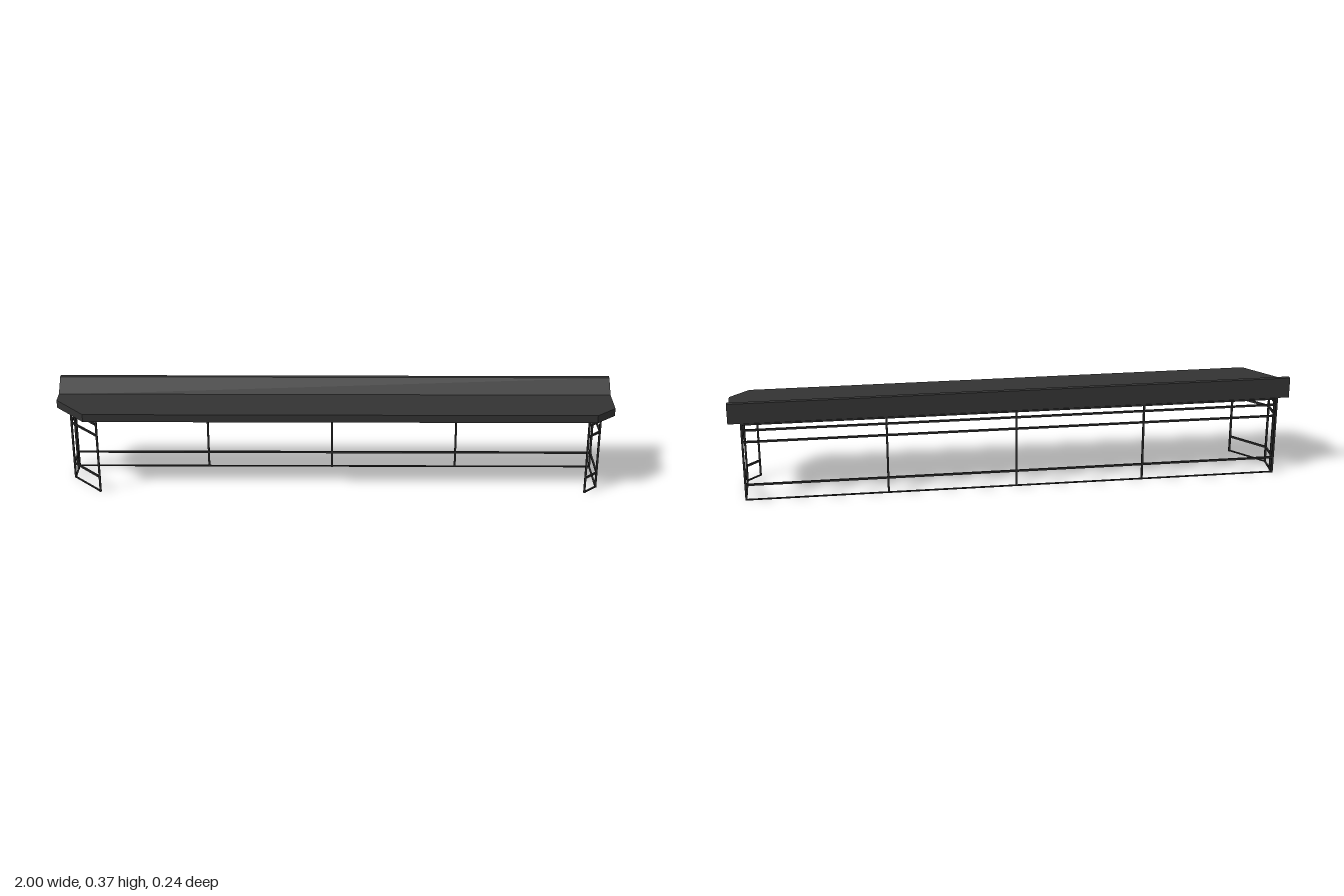
import * as THREE from 'three';

export function createModel() {
  const model = new THREE.Group();
  const roofMat = new THREE.MeshStandardMaterial({ color: 0x333333 });
  const frameMat = new THREE.MeshStandardMaterial({ color: 0x2b2b2b });

  const add = (parent, name, geometry, material) => {
    const mesh = new THREE.Mesh(geometry, material);
    mesh.name = name;
    parent.add(mesh);
    return mesh;
  };
  const extrude = (points, depth) => new THREE.ExtrudeGeometry(
    new THREE.Shape(points.map(([x, y]) => new THREE.Vector2(x, y))),
    { depth, bevelEnabled: false });

  // Roof slab with unequal cut front corners; plan points are (x, -z)
  const plan = [[-1, 0.12], [-1, 0], [-0.89, -0.12], [0.93, -0.12], [1, -0.06], [1, 0.12]];
  const slab = add(model, 'roofSlab', extrude(plan, 0.029), roofMat);
  slab.rotation.x = -Math.PI / 2;
  slab.position.y = 0.296;

  // Sloped parapet along the back of the roof; profile points are (-z, y)
  const profile = [[0.052, 0.323], [0.12, 0.298], [0.12, 0.371], [0.104, 0.371]];
  const parapet = add(model, 'roofParapet', extrude(profile, 2), roofMat);
  parapet.rotation.y = Math.PI / 2;
  parapet.position.x = -1;

  // Wall line: left-hand return, back wall, right-hand return
  const T = 0.007, TOP = 0.295, BACK = -0.117;
  const wall = [[-0.85, 0.086], [-0.957, -0.025], [-0.957, BACK],
    [0.954, BACK], [0.954, 0.043], [0.908, 0.086]];
  const frame = new THREE.Group();
  frame.name = 'wallFrame';
  model.add(frame);

  // Posts at every wall corner, three along the back and one end jamb
  const posts = [...wall, ...[-0.47, -0.01, 0.45].map(x => [x, BACK]), [-0.957, -0.092]];
  for (const [x, z] of posts) {
    add(frame, 'post', new THREE.BoxGeometry(T, TOP, T), frameMat).position.set(x, TOP / 2, z);
  }

  // Horizontal rails following the wall line
  for (const [y, h] of [[0.002, 0.004], [0.06, T], [0.225, T], [0.269, T], [0.292, 0.006]]) {
    for (let i = 0; i < wall.length - 1; i++) {
      const [x0, z0] = wall[i], [x1, z1] = wall[i + 1];
      const length = Math.hypot(x1 - x0, z1 - z0);
      const rail = add(frame, 'rail', new THREE.BoxGeometry(length, h, 0.006), frameMat);
      rail.position.set((x0 + x1) / 2, y, (z0 + z1) / 2);
      rail.rotation.y = -Math.atan2(z1 - z0, x1 - x0);
    }
  }
  return model;
}
